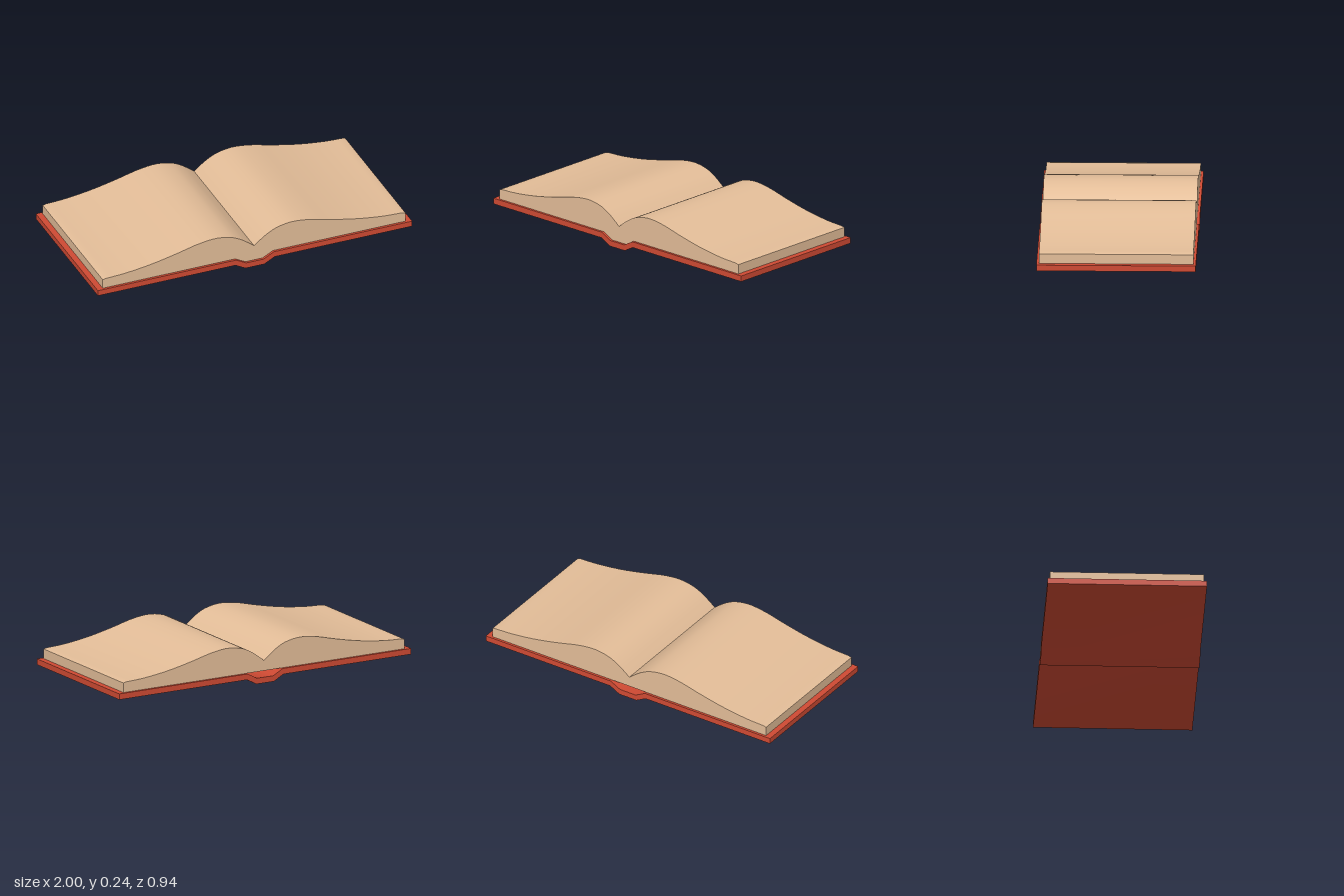
import * as THREE from 'three';
import { toCreasedNormals } from 'three/addons/utils/BufferGeometryUtils.js';

const coverMaterial = new THREE.MeshStandardMaterial({ color: 0xcf4a33 });
const pageMaterial = new THREE.MeshStandardMaterial({ color: 0xe3bd98 });

// Mirrors a right-hand outline, listed from the centre outwards, across x = 0
const mirrored = (half) => [
  ...half.filter(([x]) => x > 0).reverse().map(([x, y]) => [-x, y]),
  ...half,
];

const toShape = (points) => new THREE.Shape(points.map(([x, y]) => new THREE.Vector2(x, y)));

// Extrudes a front outline through the depth, centred on z = 0
function slab(name, points, depth, material) {
  const geometry = new THREE.ExtrudeGeometry(toShape(points), { depth, bevelEnabled: false, steps: 1 });
  geometry.translate(0, 0, -depth / 2);
  const mesh = new THREE.Mesh(toCreasedNormals(geometry, 0.5), material);
  mesh.name = name;
  return mesh;
}

export function createModel() {
  const book = new THREE.Group();
  book.name = 'openBook';

  // Cover: two flat boards joined by a dropped spine
  const underside = mirrored([[0.06, 0], [0.125, 0.035], [1, 0.035]]);
  const inside = mirrored([[0.055, 0.035], [0.12, 0.07], [1, 0.07]]);
  book.add(slab('cover', [...underside, ...inside.reverse()], 0.935, coverMaterial));

  // Pages: each half swells beside the gutter and settles towards the outer edge
  const swell = new THREE.SplineCurve([
    [0, 0.132], [0.035, 0.16], [0.085, 0.195], [0.15, 0.225], [0.245, 0.24],
    [0.36, 0.227], [0.5, 0.193], [0.66, 0.16], [0.82, 0.139], [0.94, 0.133],
  ].map(([x, y]) => new THREE.Vector2(x, y)));
  const half = swell.getPoints(28).map((p) => [p.x, p.y]);
  half.push([0.963, 0.128]);
  const top = mirrored(half).reverse();
  book.add(slab('pages', [[-0.963, 0.07], [0.963, 0.07], ...top], 0.905, pageMaterial));

  // Binding: front face of the page block seated in the spine
  const binding = new THREE.Mesh(
    new THREE.ShapeGeometry(toShape([[-0.055, 0.035], [0.055, 0.035], [0.12, 0.07], [-0.12, 0.07]])),
    pageMaterial,
  );
  binding.position.z = 0.4525;
  binding.name = 'binding';
  book.add(binding);

  return book;
}
